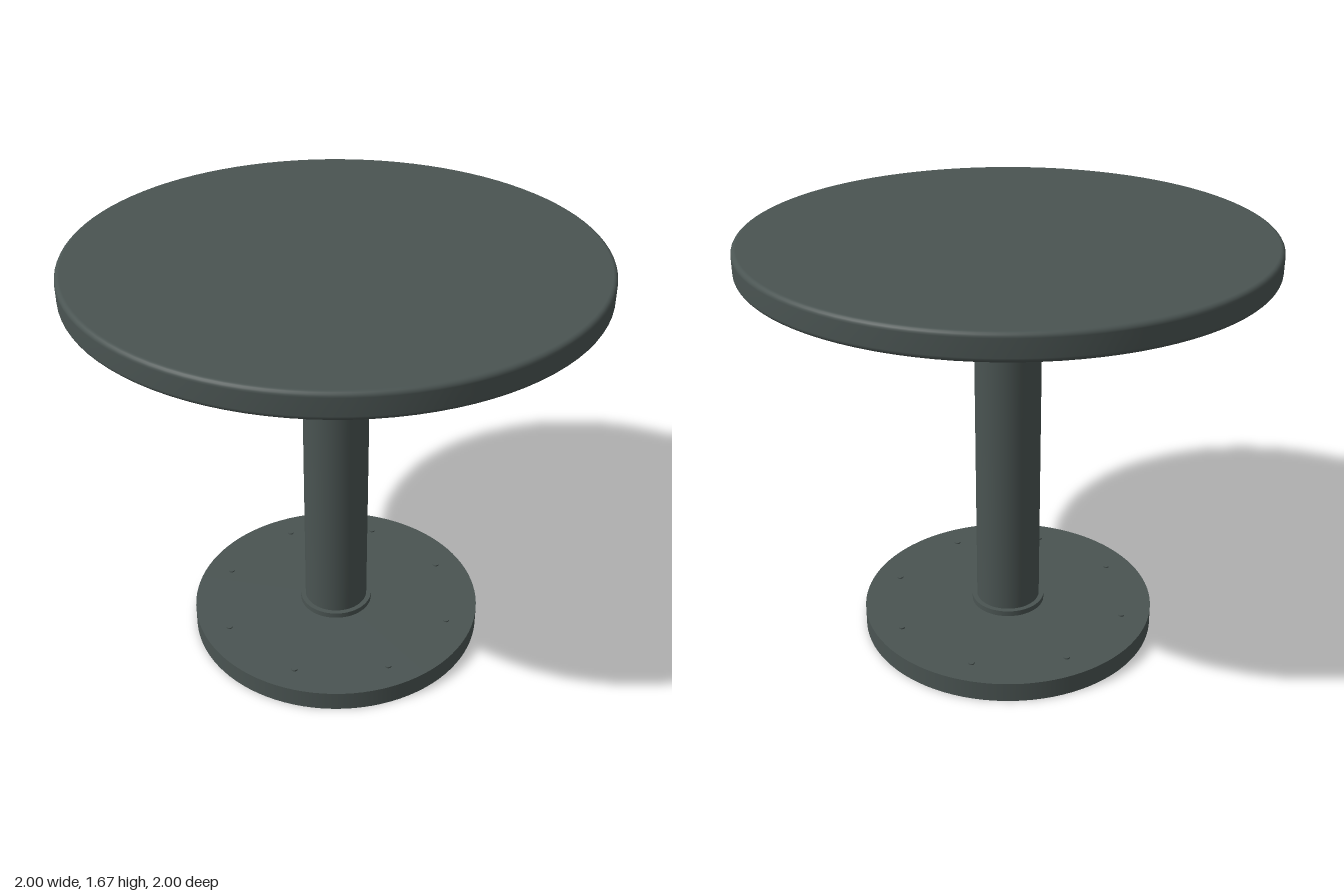
import * as THREE from 'three';

const steel = new THREE.MeshStandardMaterial({ color: 0x4a5452 });
steel.name = 'dark grey green';

// Round disc with softly rolled edges, turned from its half section
function roundedDisc(radius, bottom, top, fillet, segments = 96) {
  const pts = [new THREE.Vector2(0, bottom)];
  const steps = 5;
  for (let i = 0; i <= steps; i++) {
    const a = -Math.PI / 2 + (i / steps) * Math.PI / 2;
    pts.push(new THREE.Vector2(radius - fillet + Math.cos(a) * fillet, bottom + fillet + Math.sin(a) * fillet));
  }
  for (let i = 0; i <= steps; i++) {
    const a = (i / steps) * Math.PI / 2;
    pts.push(new THREE.Vector2(radius - fillet + Math.cos(a) * fillet, top - fillet + Math.sin(a) * fillet));
  }
  pts.push(new THREE.Vector2(0, top));
  return new THREE.LatheGeometry(pts, segments);
}

function cylinder(radius, bottom, top, segments = 64) {
  return new THREE.CylinderGeometry(radius, radius, top - bottom, segments).translate(0, (bottom + top) / 2, 0);
}

export function createModel() {
  const table = new THREE.Group();
  table.name = 'pedestalTable';
  const add = (name, geometry, parent = table) => {
    const mesh = new THREE.Mesh(geometry, steel);
    mesh.name = name;
    parent.add(mesh);
    return mesh;
  };

  add('tableTop', roundedDisc(1, 1.57, 1.67, 0.018));
  add('column', cylinder(0.13, 0.08, 1.57));
  add('collar', cylinder(0.15, 0.08, 0.103));
  add('basePlate', cylinder(0.6, 0, 0.08, 96));

  // Ring of eight small bolt heads on the base plate
  const bolts = new THREE.Group();
  bolts.name = 'baseBolts';
  for (let i = 0; i < 8; i++) {
    const a = (i / 8) * Math.PI * 2;
    const bolt = add('bolt', cylinder(0.013, 0.078, 0.086, 16), bolts);
    bolt.position.set(Math.cos(a) * 0.49, 0, Math.sin(a) * 0.49);
  }
  table.add(bolts);
  return table;
}
